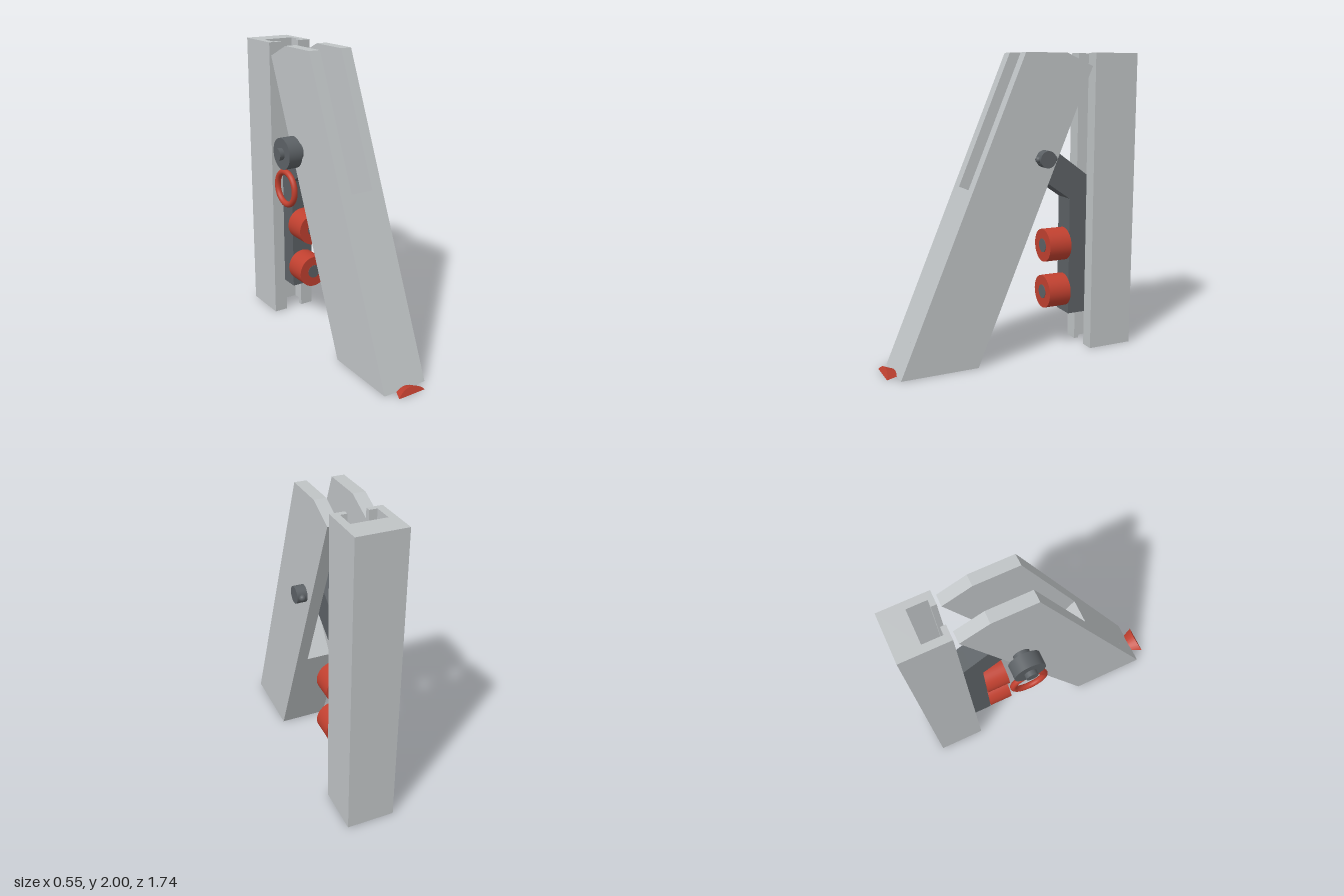
import * as THREE from 'three';
import { toCreasedNormals } from 'three/addons/utils/BufferGeometryUtils.js';

const CX = 0.048;              // x of the centre plane
const PIN = [-0.18, 1.335];    // pivot in (z, y)

export function createModel() {
  const model = new THREE.Group();
  const mat = (name, color) => Object.assign(new THREE.MeshStandardMaterial({ color }), { name });
  const light = mat('lightGrey', 0xbfc3c5);
  const dark = mat('darkGrey', 0x5c6165);
  const red = mat('red', 0xc0402f);

  function add(name, geo, material, parent = model) {
    const mesh = new THREE.Mesh(geo, material);
    mesh.name = name;
    parent.add(mesh);
    return mesh;
  }
  const shapeOf = (pts) => new THREE.Shape(pts.map((p) => new THREE.Vector2(p[0], p[1])));
  // Side profile in (z, y), extruded across x
  function sideExtrude(shape, x0, x1) {
    const g = new THREE.ExtrudeGeometry(shape, { depth: x1 - x0, bevelEnabled: false, curveSegments: 20 });
    return g.rotateY(-Math.PI / 2).translate(x1, 0, 0);
  }
  const cylX = (r, x0, x1) => new THREE.CylinderGeometry(r, r, x1 - x0, 40)
    .rotateZ(Math.PI / 2).translate((x0 + x1) / 2, PIN[1], PIN[0]);
  const cylZ = (r, z0, z1, y) => new THREE.CylinderGeometry(r, r, z1 - z0, 40)
    .rotateX(Math.PI / 2).translate(CX, y, (z0 + z1) / 2);

  // Upright post: channel with a T-shaped slot, outline in (x, -z)
  const post = shapeOf([
    [-0.11, 0.553], [-0.012, 0.553], [-0.012, 0.587], [-0.062, 0.587], [-0.062, 0.714],
    [0.158, 0.714], [0.158, 0.587], [0.114, 0.587], [0.114, 0.553], [0.206, 0.553],
    [0.206, 0.87], [-0.11, 0.87],
  ]);
  add('slottedPost', new THREE.ExtrudeGeometry(post, { depth: 2, bevelEnabled: false })
    .rotateX(-Math.PI / 2), light);

  // Slanted leg: two fork prongs and a solid core below the fork slot
  const leg = new THREE.Group();
  leg.name = 'slantedLeg';
  model.add(leg);
  const prong = shapeOf([[0.28, 0], [0.8, 0], [-0.05, 2], [-0.34, 2], [-0.53, 1.915]]);
  const core = shapeOf([[0.28, 0], [0.8, 0], [0.31, 1.153], [-0.03, 0.733]]);
  add('rightProng', sideExtrude(prong, -0.11, -0.03), light, leg);
  add('leftProng', sideExtrude(prong, 0.13, 0.206), light, leg);
  add('legCore', sideExtrude(core, -0.03, 0.13), light, leg);

  // Bent bracket with a rounded end around the pivot
  const bracket = new THREE.Shape();
  const tilt = 0.63;
  bracket.moveTo(-0.547, 0.245);
  bracket.lineTo(-0.42, 0.245);
  bracket.lineTo(-0.42, 1.044);
  bracket.absarc(PIN[0], PIN[1], 0.105, tilt - Math.PI / 2, tilt + Math.PI / 2, false);
  bracket.lineTo(-0.547, 1.2);
  add('bentBracket', toCreasedNormals(sideExtrude(bracket, -0.028, 0.126), 0.4), dark);

  // Clamping knobs with bolts running into the slot
  for (const y of [0.402, 0.725]) {
    add('clampKnob', cylZ(0.112, -0.42, -0.26, y), red);
    add('clampBolt', cylZ(0.047, -0.61, -0.257, y), dark);
    add('boltHead', cylZ(0.1, -0.692, -0.597, y), dark);
  }

  // Pivot pin, its collars and end knob
  const pin = new THREE.Group();
  pin.name = 'pivotPin';
  model.add(pin);
  add('pinShaft', cylX(0.055, -0.16, 0.272), dark, pin);
  add('pinKnob', cylX(0.105, -0.245, -0.15), dark, pin);
  add('pinTip', cylX(0.04, -0.277, -0.24), dark, pin);
  // Round-ended cross pin that keeps the shaft in place
  add('crossPin', new THREE.CapsuleGeometry(0.021, 0.112, 8, 20)
    .rotateX(Math.PI / 2).translate(0.24, PIN[1], PIN[0]), dark, pin);

  // Pull ring hanging under the knob
  add('pullRing', new THREE.TorusGeometry(0.11, 0.02, 16, 48)
    .rotateY(Math.PI / 2).translate(-0.215, 1.097, PIN[0]), red);

  add('footPad', footPadGeometry(), red);
  return model;
}

// Round pad on the leg's front face, cut off level with the ground
function footPadGeometry() {
  const R = 0.13, DEPTH = 0.066, TOP = 0.0195, N = 20, cs = 0.92, sn = 0.391;
  const section = (n) => {
    const half = Math.acos(1 - (TOP + n * sn / cs) / R);
    return Array.from({ length: N + 1 }, (_, i) => {
      const a = half * (1 - 2 * i / N); // from +x over the top to -x
      const s = TOP - R + R * Math.cos(a);
      return [CX + R * Math.sin(a), Math.max(0, cs * s + sn * n), 0.8 + cs * n - sn * s];
    });
  };
  const tris = [];
  const back = section(0), front = section(DEPTH);
  const quad = (a, b, c, d) => tris.push(...a, ...b, ...c, ...a, ...c, ...d);
  for (let i = 0; i < N; i++) {
    quad(front[i], back[i], back[i + 1], front[i + 1]);          // curved rim
    if (i > 0) {
      tris.push(...front[0], ...front[i], ...front[i + 1]);      // outer face
      tris.push(...back[0], ...back[i + 1], ...back[i]);         // inner face
    }
  }
  quad(front[0], front[N], back[N], back[0]);                    // level underside
  const g = new THREE.BufferGeometry();
  g.setAttribute('position', new THREE.Float32BufferAttribute(tris, 3));
  g.computeVertexNormals();
  return toCreasedNormals(g, 0.5);
}
